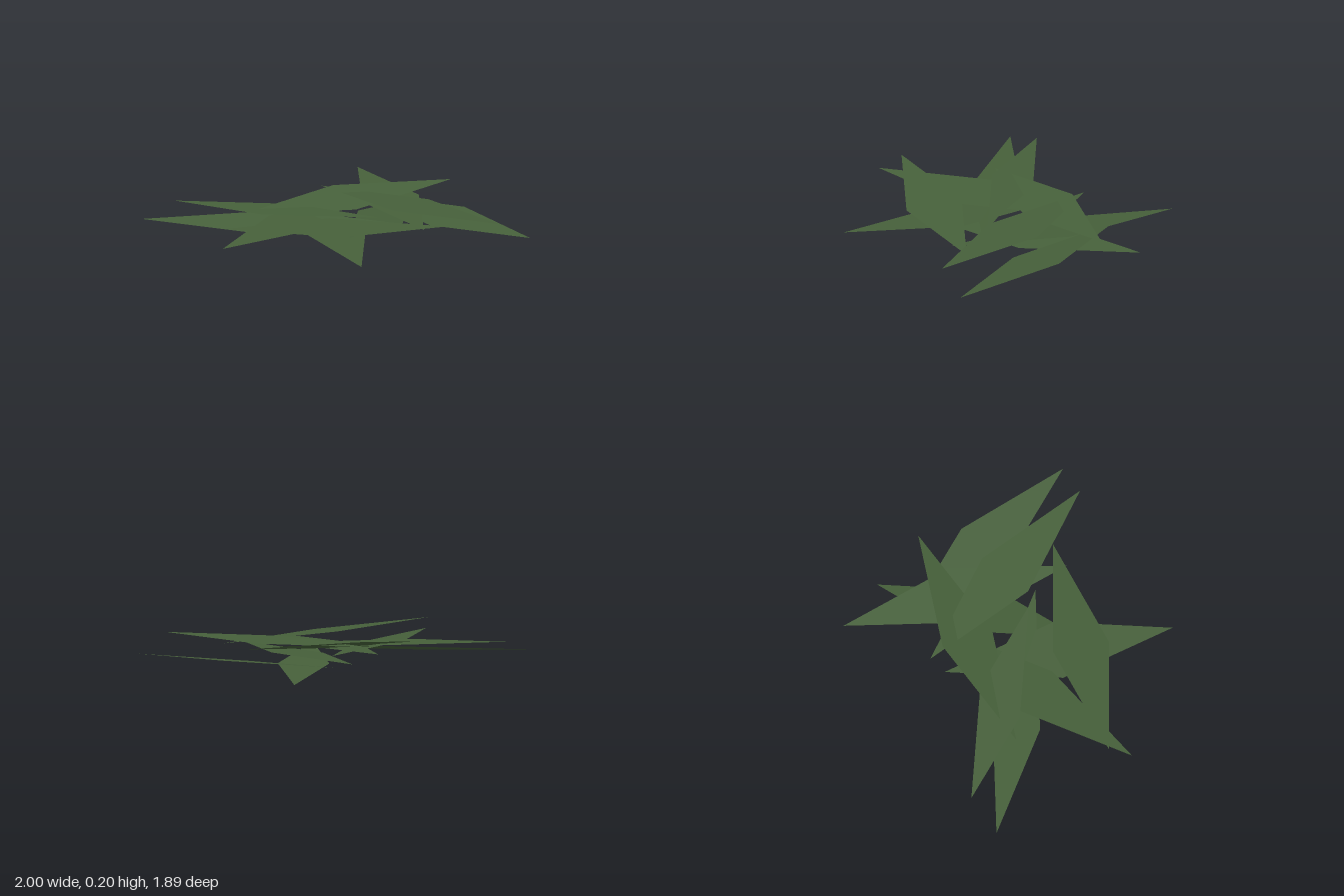
import * as THREE from 'three';

const leafGreen = new THREE.MeshStandardMaterial({ color: 0x46603a, side: THREE.DoubleSide });
leafGreen.name = 'leafGreen';

// A flat four-cornered blade: tip, side corner and base; the other side corner closes the parallelogram
function makeLeaf(tip, side, base) {
  const other = tip.map((v, i) => v + base[i] - side[i]);
  const g = new THREE.BufferGeometry();
  g.setAttribute('position', new THREE.Float32BufferAttribute([...tip, ...side, ...base, ...other], 3));
  // keep every blade's front face upwards
  const cross = (side[2] - tip[2]) * (base[0] - tip[0]) - (side[0] - tip[0]) * (base[2] - tip[2]);
  g.setIndex(cross > 0 ? [0, 1, 2, 0, 2, 3] : [0, 2, 1, 0, 3, 2]);
  g.computeVertexNormals();
  return new THREE.Mesh(g, leafGreen);
}

export function createModel() {
  const group = new THREE.Group();
  group.name = 'leafLitter';

  // name, tip, side corner, base (x, y, z)
  const leaves = [
    ['topBackLeaf', [1.0, 0.2, -0.1], [0.31, 0.2, -0.45], [-0.46, 0.12, -0.46]],
    ['topFrontLeaf', [-0.9, 0.185, -0.05], [-0.15, 0.165, 0.09], [0.44, 0.11, 0.56]],
    ['topSideLeaf', [0.6, 0.17, 0.91], [0.63, 0.173, 0.13], [0.3, 0.176, -0.56]],
    ['frontCornerLeaf', [0.82, 0.05, 0.945], [0.895, 0.088, 0.17], [0.62, 0.077, -0.52]],
    ['backCornerLeaf', [0.83, 0.155, -0.85], [0.72, 0.146, -0.08], [0.27, 0.11, 0.54]],
    ['lowSideLeaf', [0.96, 0, -0.47], [0.43, 0.024, 0.11], [-0.15, 0.078, 0.3]],
    ['lowBackLeaf', [-0.865, 0.065, -0.945], [-0.48, 0.046, -0.28], [0.27, 0.1, 0.28]],
    ['upperBackLeaf', [-0.6, 0.145, -0.94], [-0.36, 0.135, -0.35], [0.2, 0.128, 0.17]],
    ['middleLeaf', [-1.0, 0.092, 0.06], [-0.32, 0.125, -0.32], [0.45, 0.118, -0.36]],
    ['lowFrontLeaf', [-0.465, 0.04, 0.82], [0.03, 0.08, 0.24], [0.19, 0.115, -0.53]],
  ];
  for (const [name, tip, side, base] of leaves) {
    const leaf = makeLeaf(tip, side, base);
    leaf.name = name;
    group.add(leaf);
  }
  return group;
}
